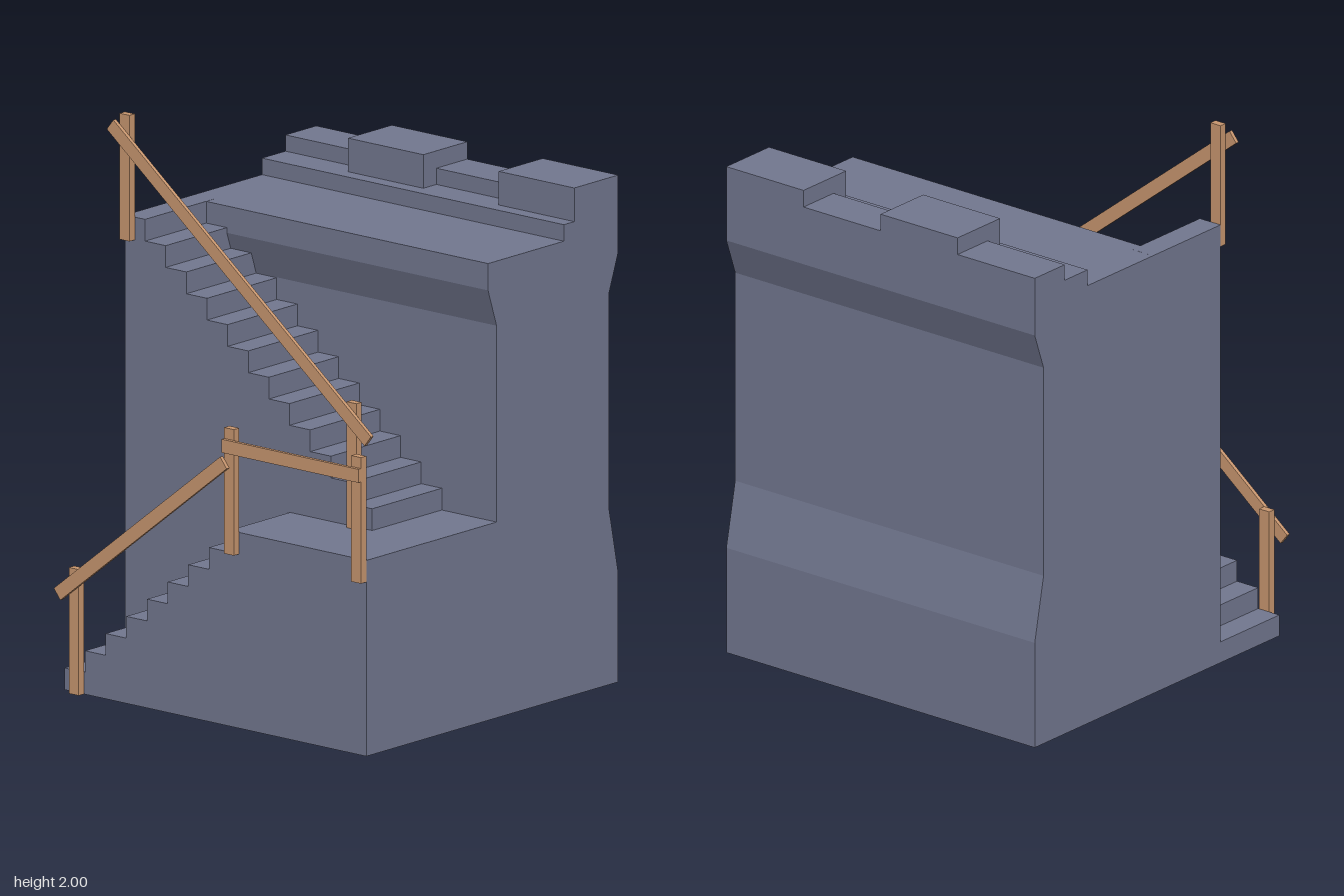
import * as THREE from 'three';

export function createModel() {
  const model = new THREE.Group();
  model.name = 'castleWallWithStairs';
  const stone = new THREE.MeshStandardMaterial({ color: 0x72778f });
  stone.name = 'slateStone';
  const wood = new THREE.MeshStandardMaterial({ color: 0xc8966f });
  wood.name = 'warmWood';

  const back = -0.667, front = 0.711;
  const run = 0.0942, rise = 0.0777, landingY = 0.699;

  function add(geometry, material, name) {
    const mesh = new THREE.Mesh(geometry, material);
    mesh.name = name;
    model.add(mesh);
    return mesh;
  }

  function extrude(points, depth) {
    const shape = new THREE.Shape(points.map(([a, b]) => new THREE.Vector2(a, b)));
    return new THREE.ExtrudeGeometry(shape, { depth, bevelEnabled: false });
  }

  // Box given by its two opposite corners
  function box(x0, x1, y0, y1, z0, z1, material, name) {
    const g = new THREE.BoxGeometry(x1 - x0, y1 - y0, z1 - z0);
    g.translate((x0 + x1) / 2, (y0 + y1) / 2, (z0 + z1) / 2);
    return add(g, material, name);
  }

  // Main wall with battered foot, overhanging head and stepped parapet
  const wall = extrude([
    [0.042, 0], [0.684, 0], [0.684, 0.39], [0.636, 0.625], [0.636, 1.4],
    [0.684, 1.535], [0.684, 1.748], [0.521, 1.748], [0.521, 1.69],
    [0.397, 1.69], [0.397, 1.631], [-0.003, 1.631], [-0.003, 1.535], [0.042, 1.4],
  ], front - back);
  wall.translate(0, 0, back);
  add(wall, stone, 'wall');

  // Merlons
  for (const [z0, z1] of [[-0.322, 0.022], [0.366, front]]) {
    box(0.452, 0.684, 1.69, 1.81, z0, z1, stone, 'merlon');
  }

  // Solid stair block: a (z, y) profile extruded across x
  function stairBlock(profile, x0, x1, name) {
    const g = extrude(profile, x1 - x0);
    g.rotateY(-Math.PI / 2);
    g.translate(x1, 0, 0);
    add(g, stone, name);
  }

  // Lower flight climbs towards the front landing
  const lower = [[back, 0]];
  for (let i = 0; i < 9; i++) {
    const z = back + i * run;
    lower.push([z, (i + 1) * rise], [i < 8 ? z + run : front, (i + 1) * rise]);
  }
  lower.push([front, 0]);
  stairBlock(lower, -0.646, -0.326, 'lowerStairs');

  // Upper flight climbs from the landing towards the back
  const upper = [[front, 0], [front, landingY]];
  for (let i = 0; i < 12; i++) {
    const z = 0.461 - i * run, y = landingY + i * rise;
    upper.push([z, y], [z, y + rise]);
  }
  upper.push([back, 1.631], [back, 0]);
  stairBlock(upper.reverse(), -0.326, 0.042, 'upperStairs');

  // Railing posts fixed to the outer side of the stairs: [outer x, bottom y, back z]
  const posts = [
    [-0.674, 0, -0.622], [-0.674, 0.622, 0.086], [-0.674, 0.622, 0.666],
    [-0.354, 0.699, 0.368], [-0.354, 1.55, back],
  ];
  for (const [x, y, z] of posts) {
    box(x, x + 0.028, y, y + 0.45, z, z + 0.045, wood, 'railingPost');
  }

  // Handrails between two centre points in the (z, y) plane
  function handrail(x, [z0, y0], [z1, y1], name) {
    const length = Math.hypot(z1 - z0, y1 - y0);
    const rail = add(new THREE.BoxGeometry(0.014, 0.048, length), wood, name);
    rail.position.set(x, (y0 + y1) / 2, (z0 + z1) / 2);
    rail.rotation.x = -Math.atan2(y1 - y0, z1 - z0);
  }
  handrail(-0.681, [-0.664, 0.35], [0.095, 0.95], 'lowerHandrail');
  handrail(-0.681, [0.086, 1.009], [front, 1.009], 'landingHandrail');
  handrail(-0.361, [0.477, 1.028], [-0.699, 1.957], 'upperHandrail');

  return model;
}
